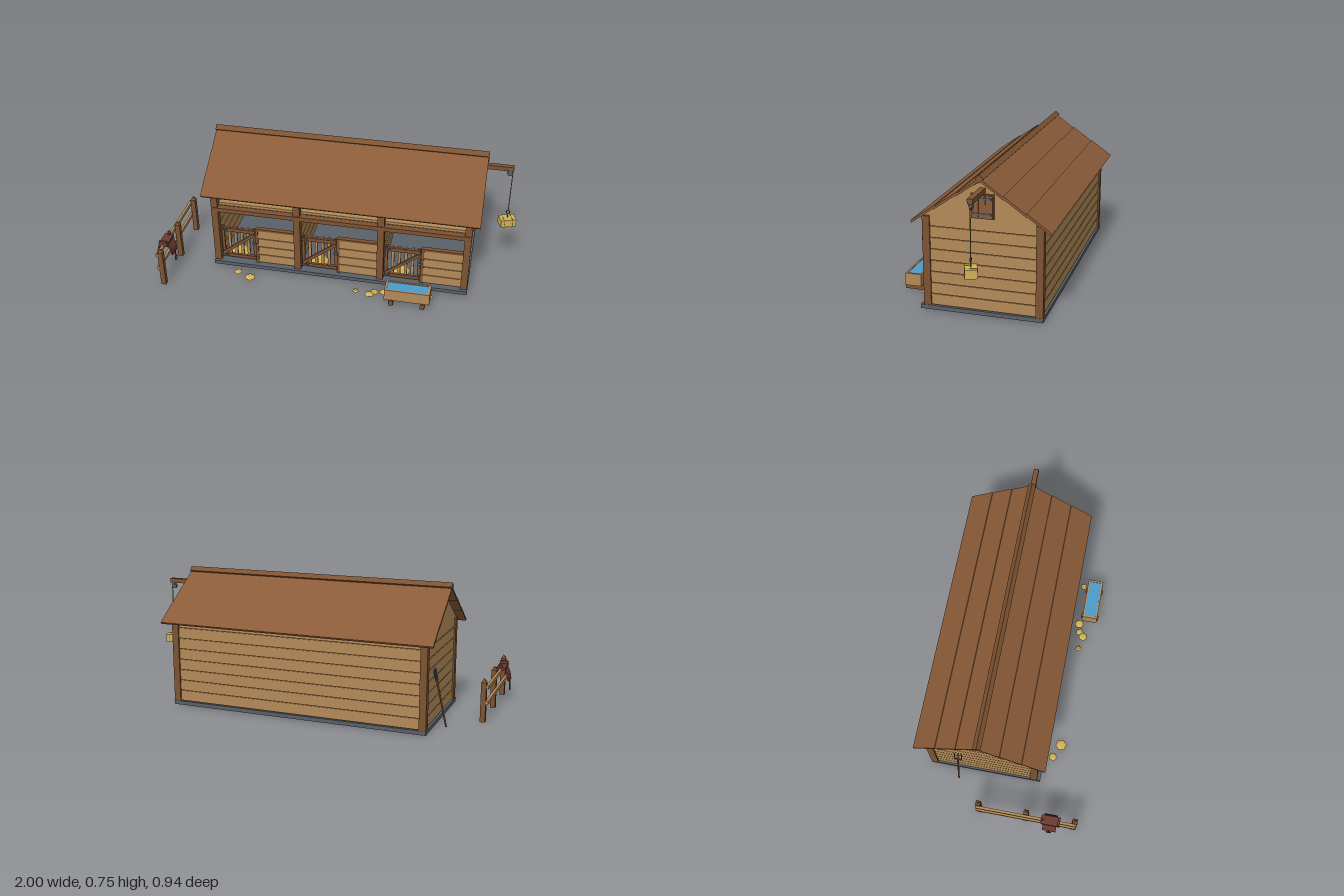
import * as THREE from 'three';

const mat = (name, color) => new THREE.MeshStandardMaterial({ name, color });

export function createModel() {
  const roofWood = mat('roof wood', 0x8a5b38), timber = mat('timber', 0x7d5231), plank = mat('plank', 0xb38a57);
  const groove = mat('dark groove', 0x57391f), stone = mat('stone', 0x596068), iron = mat('iron', 0x56616b);
  const hay = mat('hay', 0xd2b456), rope = mat('rope', 0x8f8038), leather = mat('leather', 0x6b3a2f);
  const water = mat('water', 0x4c9ccb);
  const model = new THREE.Group();
  model.name = 'stable';

  const add = (name, geo, material, pos = [0, 0, 0], parent = model) => {
    const m = new THREE.Mesh(geo, material);
    m.name = name;
    m.position.set(...pos);
    parent.add(m);
    return m;
  };
  // Box given by its limits on each axis
  const box = (name, material, [x0, x1], [y0, y1], [z0, z1], parent = model) =>
    add(name, new THREE.BoxGeometry(x1 - x0, y1 - y0, z1 - z0), material,
      [(x0 + x1) / 2, (y0 + y1) / 2, (z0 + z1) / 2], parent);
  // Round bar between two points
  const bar = (name, material, a, b, r, parent = model) => {
    const p = new THREE.Vector3(...a), q = new THREE.Vector3(...b), d = q.clone().sub(p);
    const m = add(name, new THREE.CylinderGeometry(r, r, d.length(), 6), material,
      p.clone().add(q).multiplyScalar(0.5).toArray(), parent);
    m.quaternion.setFromUnitVectors(new THREE.Vector3(0, 1, 0), d.normalize());
    return m;
  };
  const group = (name, parent = model) => {
    const g = new THREE.Group();
    g.name = name;
    parent.add(g);
    return g;
  };

  const CX = 0.029, RZ = -0.113, PITCH = 0.0605;
  const posts = [-0.69, -0.211, 0.268, 0.747];

  // Foundation and corner posts
  box('foundation', stone, [-0.71, 0.768], [0, 0.022], [-0.425, 0.22]);
  posts.forEach((x, i) => {
    box('frontPost', timber, [x - 0.019, x + 0.019], [0.022, 0.5], [0.164, 0.203]);
    if (i % 3 === 0) box('backPost', timber, [x - 0.019, x + 0.019], [0.022, 0.5], [-0.424, -0.385]);
  });
  box('frontLoftBeam', timber, [-0.7, 0.758], [0.36, 0.386], [0.17, 0.207]);
  box('frontEaveBeam', timber, [-0.7, 0.758], [0.47, 0.495], [0.168, 0.198]);

  // Boarded walls: dark core with separate planks
  const boards = (name, xs, zs, rows, axis) => {
    const g = group(name), s = 0.005;
    const cx = axis === 'x' ? [xs[0] + s, xs[1] - s] : xs, cz = axis === 'z' ? [zs[0] + s, zs[1] - s] : zs;
    box('wallCore', groove, cx, [0.022, 0.022 + rows * PITCH - 0.006], cz, g);
    for (let i = 0; i < rows; i++)
      box('wallPlank', plank, xs, [0.027 + i * PITCH, 0.022 + (i + 1) * PITCH], zs, g);
  };
  boards('backWall', [-0.672, 0.73], [-0.415, -0.39], 8, 'z');
  boards('rightWall', [0.733, 0.758], [-0.386, 0.165], 8, 'x');
  boards('leftWall', [-0.7, -0.675], [-0.386, 0.165], 8, 'x');
  posts.slice(1, 3).forEach(x => boards('stallDivider', [x - 0.012, x + 0.012], [-0.39, 0.165], 5, 'x'));

  // Gables
  const tri = new THREE.Shape([[0.2, 0.502], [RZ, 0.706], [-0.424, 0.502]].map(p => new THREE.Vector2(...p)));
  const gableGeo = new THREE.ExtrudeGeometry(tri, { depth: 0.025, bevelEnabled: false }).rotateY(-Math.PI / 2);
  add('rightGable', gableGeo, plank, [0.758, 0, 0]);
  add('leftGable', gableGeo, plank, [-0.675, 0, 0]);

  // Roof: three overlapping courses on each slope
  for (const turn of [0, Math.PI]) {
    const side = group('roofSide');
    side.position.set(CX, 0.715, RZ);
    side.rotation.y = turn;
    const slope = group('roofSlope', side);
    slope.rotation.x = 0.585;
    for (let i = 0; i < 3; i++) {
      const c = add('roofCourse', new THREE.BoxGeometry(1.556, 0.012, 0.155), roofWood, [0, 0.002, 0.072 + i * 0.14], slope);
      c.rotation.x = 0.03;
    }
  }
  add('ridgeBeam', new THREE.BoxGeometry(1.56, 0.031, 0.031), timber, [CX, 0.725, RZ]).rotation.x = Math.PI / 4;

  // Loft floor and its hay
  box('loftFloor', plank, [-0.675, 0.733], [0.386, 0.402], [-0.39, 0.168]);
  const bale = (x, y, z, w = 0.112, parent = model) => {
    const g = group('hayBale', parent);
    g.position.set(x, y, z);
    add('bale', new THREE.BoxGeometry(w, 0.045, 0.062), hay, [0, 0, 0], g);
    for (const s of [-1, 1]) add('baleTwine', new THREE.BoxGeometry(0.004, 0.048, 0.065), rope, [s * w * 0.27, 0, 0], g);
    return g;
  };
  [[-0.518, 0], [-0.39, 0], [-0.45, 1], [0.163, 0], [0.385, 0], [0.505, 0], [0.445, 1]].forEach(([x, up]) =>
    bale(x, 0.43 + up * 0.047, 0.07, 0.106));
  bale(0.641, 0.43, 0.06, 0.06);
  add('loftHayPile', new THREE.ConeGeometry(0.12, 0.11, 9).toNonIndexed(), hay, [-0.06, 0.457, 0.02])
    .geometry.computeVertexNormals();

  // Stall fronts: barred gate on one half, boarded panel on the other
  posts.slice(0, 3).forEach(px => {
    const g = group('stallFront');
    g.position.x = px;
    const z = [0.172, 0.188];
    box('gateBottomRail', timber, [0.024, 0.225], [0.04, 0.06], z, g);
    box('gateTopRail', timber, [0.024, 0.225], [0.218, 0.24], z, g);
    for (let i = 0; i < 6; i++) {
      const x = 0.024 + i * 0.0374;
      box('gateSlat', i % 5 ? plank : timber, [x, x + 0.016], [0.035, 0.248], [0.168, 0.18], g);
    }
    const brace = add('gateBrace', new THREE.BoxGeometry(0.245, 0.018, 0.01), timber, [0.126, 0.139, 0.187], g);
    brace.rotation.z = Math.atan2(0.15, 0.19);
    box('gateLatch', iron, [0.212, 0.236], [0.15, 0.164], [0.186, 0.198], g);
    for (const y of [0.05, 0.229]) box('gateHinge', iron, [0.016, 0.06], [y - 0.004, y + 0.004], [0.186, 0.194], g);
    box('panelPost', timber, [0.229, 0.245], [0.022, 0.258], [0.168, 0.192], g);
    box('panelCap', timber, [0.236, 0.462], [0.248, 0.26], [0.166, 0.192], g);
    box('panelCore', groove, [0.24, 0.46], [0.022, 0.248], [0.173, 0.182], g);
    for (let i = 0; i < 4; i++)
      box('panelPlank', plank, [0.245, 0.46], [0.027 + i * 0.056, 0.078 + i * 0.056], [0.17, 0.187], g);
    // Tack on the back wall and bedding on the floor
    box('tackPeg', timber, [0.115, 0.165], [0.25, 0.268], [-0.392, -0.36], g);
    add('collar', new THREE.TorusGeometry(0.03, 0.007, 6, 14), leather, [0.35, 0.248, -0.38], g);
    add('bucket', new THREE.CylinderGeometry(0.026, 0.02, 0.05, 10), iron, [0.14, 0.225, -0.36], g);
    [[0.1, 0.1], [0.3, 0.12], [0.39, -0.05]].forEach(([x, zz], i) =>
      add('bedding', new THREE.CylinderGeometry(0.04, 0.06, 0.012, 7), hay, [x, 0.028, zz], g).rotation.y = i);
  });

  // Loft hatch on the right gable
  box('hatchFrame', timber, [0.75, 0.766], [0.512, 0.638], [-0.173, -0.055]);
  for (let i = 0; i < 3; i++)
    box('hatchBoard', roofWood, [0.76, 0.771], [0.518, 0.632], [-0.167 + i * 0.0365, -0.132 + i * 0.0365]);
  for (const y of [0.537, 0.616]) box('hatchHinge', iron, [0.765, 0.776], [y - 0.005, y + 0.005], [-0.162, -0.066]);

  // Hoist with hanging bale
  box('hoistBeam', timber, [0.7, 0.95], [0.643, 0.668], [RZ - 0.014, RZ + 0.014]);
  box('pulleyBracket', iron, [0.924, 0.942], [0.628, 0.648], [RZ - 0.011, RZ + 0.011]);
  add('pulley', new THREE.CylinderGeometry(0.016, 0.016, 0.012, 12).rotateX(Math.PI / 2), iron, [0.93, 0.624, RZ]);
  bar('hoistRope', rope, [0.945, 0.625, RZ], [0.945, 0.378, RZ], 0.0028);
  add('hoistHook', new THREE.TorusGeometry(0.01, 0.003, 6, 12), iron, [0.945, 0.368, RZ]);
  bar('hoistSling', rope, [0.945, 0.36, RZ], [0.945, 0.325, RZ], 0.0028);
  bale(0.945, 0.308, RZ, 0.088).rotation.y = 0.36;

  // Fence: pointed posts and two rails
  const FX = -0.933;
  [-0.092, 0.18, 0.455].forEach(z => {
    box('fencePost', timber, [FX - 0.014, FX + 0.014], [0, 0.22], [z - 0.014, z + 0.014]);
    add('fencePostTip', new THREE.ConeGeometry(0.0198, 0.022, 4).rotateY(Math.PI / 4), timber, [FX, 0.231, z]);
  });
  for (const y of [0.11, 0.194]) box('fenceRail', plank, [-0.96, -0.945], [y - 0.01, y + 0.01], [-0.105, 0.465]);

  // Saddle draped over the top rail
  const saddle = group('saddle');
  saddle.position.set(-0.952, 0, 0.32);
  const arch = new THREE.Shape();
  arch.moveTo(-0.047, 0.13);
  arch.quadraticCurveTo(-0.04, 0.208, 0, 0.21);
  arch.quadraticCurveTo(0.04, 0.208, 0.047, 0.13);
  arch.lineTo(0.038, 0.13);
  arch.quadraticCurveTo(0.032, 0.198, 0, 0.2);
  arch.quadraticCurveTo(-0.032, 0.198, -0.038, 0.13);
  const flap = (name, depth) => {
    const geo = new THREE.ExtrudeGeometry(arch, { depth, bevelEnabled: false, curveSegments: 6 });
    return add(name, geo, leather, [0, 0, -depth / 2], saddle);
  };
  flap('saddleFlap', 0.076);
  box('saddleSeat', leather, [-0.026, 0.026], [0.192, 0.211], [-0.052, 0.052], saddle);
  bar('saddleHorn', leather, [0, 0.2, -0.046], [0, 0.232, -0.048], 0.008, saddle);
  box('saddleCantle', leather, [-0.022, 0.022], [0.205, 0.228], [0.041, 0.054], saddle);
  for (const s of [-1, 1]) {
    bar('stirrupStrap', leather, [s * 0.045, 0.14, 0], [s * 0.047, 0.098, 0], 0.004, saddle);
    add('stirrup', new THREE.TorusGeometry(0.013, 0.003, 6, 10).rotateY(Math.PI / 2), iron, [s * 0.047, 0.086, 0], saddle);
  }

  // Pitchfork leaning on the left wall
  const fork = group('pitchfork');
  const at = (t, dz) => [-0.772 + t * 0.07, t * 0.31, -0.25 + dz];
  bar('forkHandle', timber, at(0, 0), at(0.8, 0), 0.005, fork);
  bar('forkCrossbar', iron, at(0.8, -0.02), at(0.8, 0.02), 0.004, fork);
  for (const dz of [-0.02, 0, 0.02]) bar('forkTine', iron, at(0.8, dz), at(1, dz), 0.003, fork);

  // Water trough
  const trough = group('trough');
  box('troughFloor', plank, [0.33, 0.568], [0.03, 0.04], [0.296, 0.384], trough);
  for (const z of [0.296, 0.376]) box('troughSide', plank, [0.325, 0.573], [0.03, 0.098], [z, z + 0.01], trough);
  for (const x of [0.323, 0.563]) box('troughEnd', plank, [x, x + 0.012], [0.03, 0.098], [0.296, 0.386], trough);
  box('troughWater', water, [0.333, 0.565], [0.04, 0.094], [0.304, 0.378], trough);
  for (const x of [0.35, 0.525]) box('troughFoot', timber, [x, x + 0.025], [0, 0.032], [0.288, 0.394], trough);

  // Loose hay on the ground
  [[-0.55, 0.27, 0.026], [-0.47, 0.305, 0.033], [0.15, 0.305, 0.02], [0.23, 0.32, 0.027], [0.257, 0.295, 0.024],
    [0.31, 0.285, 0.028], [0.565, 0.275, 0.022]].forEach(([x, z, r], i) =>
    add('looseHay', new THREE.CylinderGeometry(r * 0.5, r, 0.009, 5 + (i % 2)), hay, [x, 0.0045, z]).rotation.y = i * 1.3);

  return model;
}
